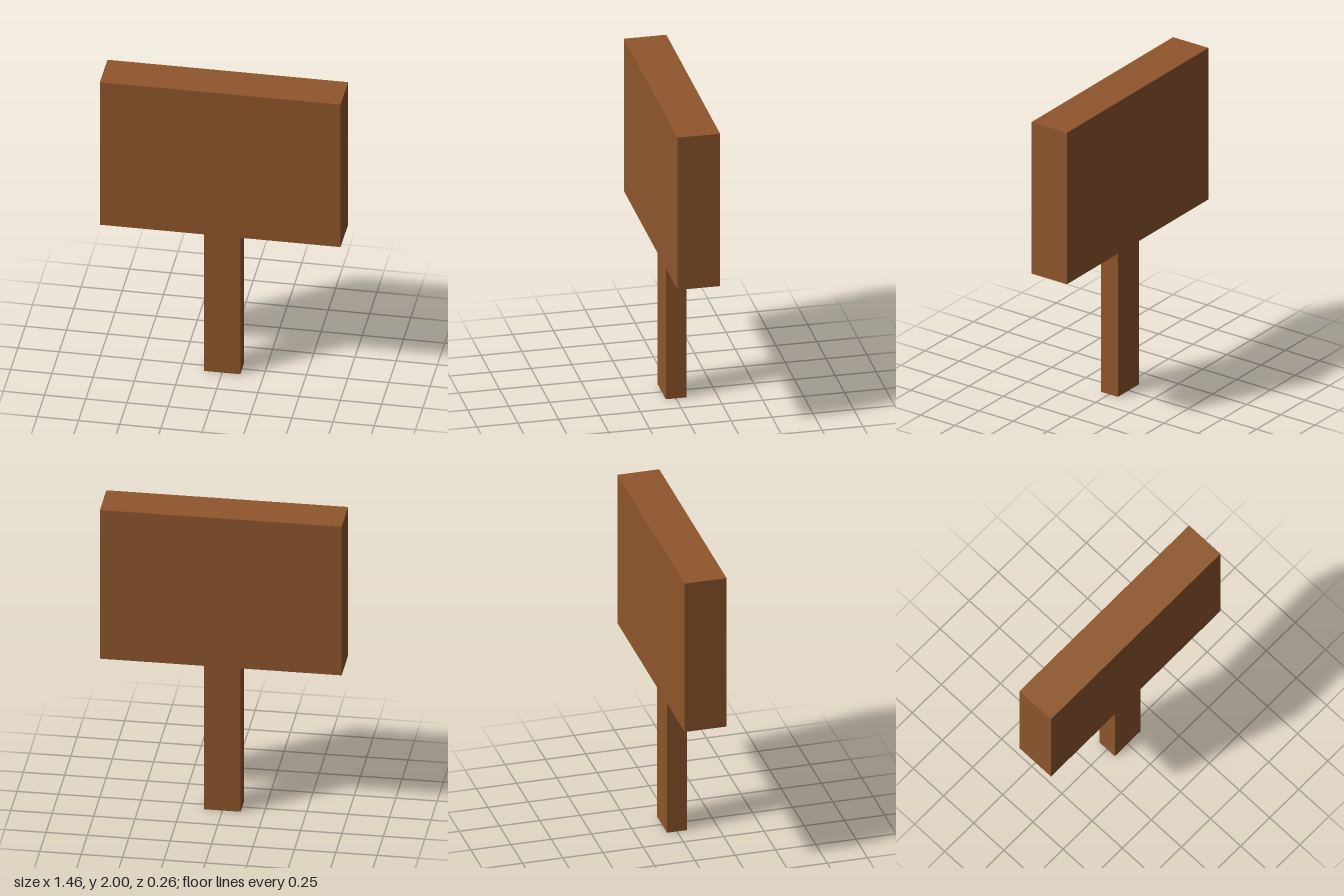
import * as THREE from 'three';

export function createModel() {
  const group = new THREE.Group();
  group.name = 'signpost';
  const wood = new THREE.MeshStandardMaterial({ color: 0x8f562c });

  // Box standing on height y
  function addBox(name, width, height, depth, y) {
    const mesh = new THREE.Mesh(new THREE.BoxGeometry(width, height, depth), wood);
    mesh.name = name;
    mesh.position.y = y + height / 2;
    group.add(mesh);
  }

  // Upright post and the thick board on top of it
  addBox('post', 0.22, 1, 0.125, 0);
  addBox('signBoard', 1.46, 1, 0.26, 1);

  return group;
}
